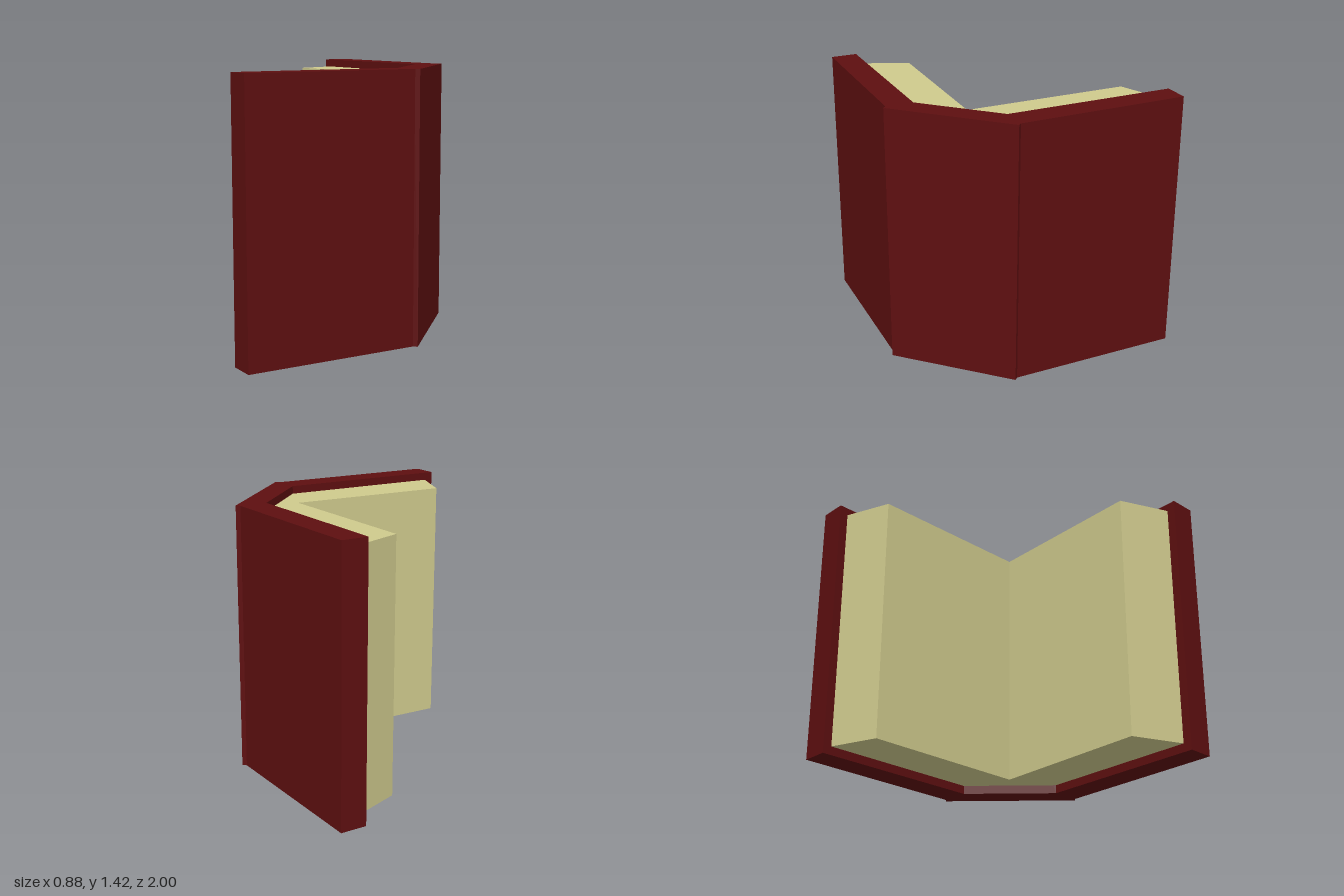
import * as THREE from 'three';

export function createModel() {
  const group = new THREE.Group();
  group.name = 'openBook';

  const leather = new THREE.MeshStandardMaterial({ color: 0x5e0f10 });
  leather.name = 'dark red cover';
  const paper = new THREE.MeshStandardMaterial({ color: 0xcfca8d });
  paper.name = 'cream paper';

  // Upright prism from a plan outline of [x, z] points
  function prism(name, outline, bottom, top, material) {
    const shape = new THREE.Shape(outline.map(([x, z]) => new THREE.Vector2(x, -z)));
    const geometry = new THREE.ExtrudeGeometry(shape, { depth: top - bottom, bevelEnabled: false });
    geometry.rotateX(-Math.PI / 2);
    geometry.translate(0, bottom, 0);
    const mesh = new THREE.Mesh(geometry, material);
    mesh.name = name;
    group.add(mesh);
  }

  // Spine board
  prism('spine', [[0.305, -0.355], [0.435, -0.355], [0.435, 0.355], [0.305, 0.355]]
    .map(([x, z]) => (x < 0.4 ? [x, Math.sign(z) * 0.25] : [x, z]))
    .flatMap(([x, z], i) => (i === 1 ? [[0.405, z], [x, z]] : i === 2 ? [[x, z], [0.405, z]] : [[x, z]])),
  0, 1.42, leather);

  // Two cover boards, splayed open
  for (const [name, s] of [['frontCover', 1], ['backCover', -1]]) {
    prism(name, [[-0.265, s], [0.41, s * 0.355], [0.305, s * 0.25], [-0.365, s * 0.9]], 0, 1.42, leather);
  }

  // Page block, folded at the middle and slanted at the fore edges
  prism('pages', [
    [0.306, -0.25], [-0.33, -0.868], [-0.44, -0.63], [0.205, 0],
    [-0.44, 0.605], [-0.33, 0.868], [0.306, 0.25],
  ], 0.045, 1.378, paper);

  return group;
}
